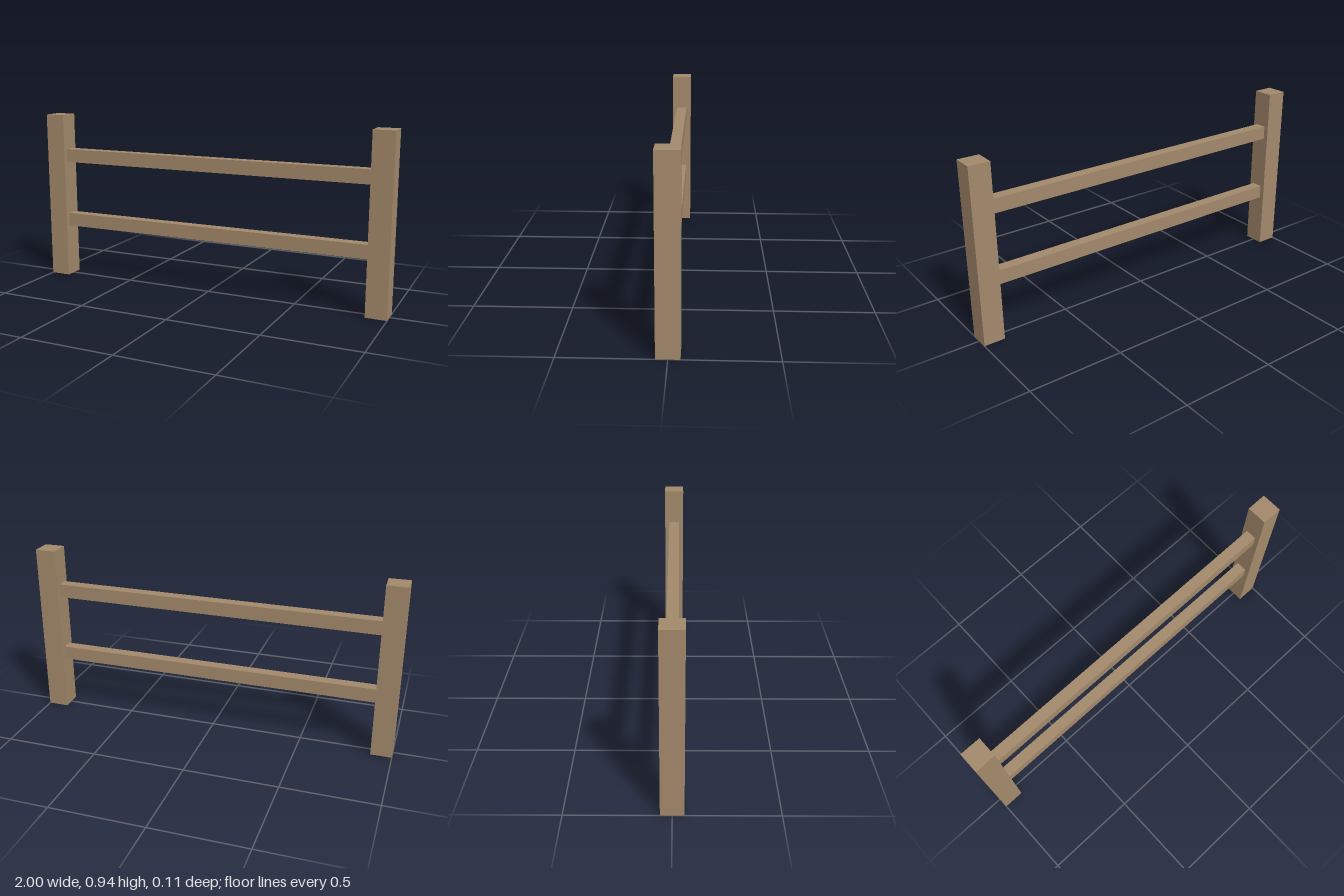
import * as THREE from 'three';

export function createModel() {
  const fence = new THREE.Group();
  fence.name = 'fence';

  const wood = new THREE.MeshStandardMaterial({ color: 0xa3896b });
  wood.name = 'wood';

  const postWidth = 0.112;
  const postHeight = 0.943;
  const railLength = 2 - 2 * postWidth;

  function beam(name, size, x, y) {
    const mesh = new THREE.Mesh(new THREE.BoxGeometry(...size), wood);
    mesh.name = name;
    mesh.position.set(x, y, 0);
    fence.add(mesh);
  }

  // Square end posts
  for (const [name, side] of [['leftPost', 1], ['rightPost', -1]]) {
    beam(name, [postWidth, postHeight, postWidth], side * (1 - postWidth / 2), postHeight / 2);
  }

  // Horizontal rails butting against the posts
  for (const [name, y] of [['lowerRail', 0.332], ['upperRail', 0.709]]) {
    beam(name, [railLength, 0.075, 0.06], 0, y);
  }

  return fence;
}
